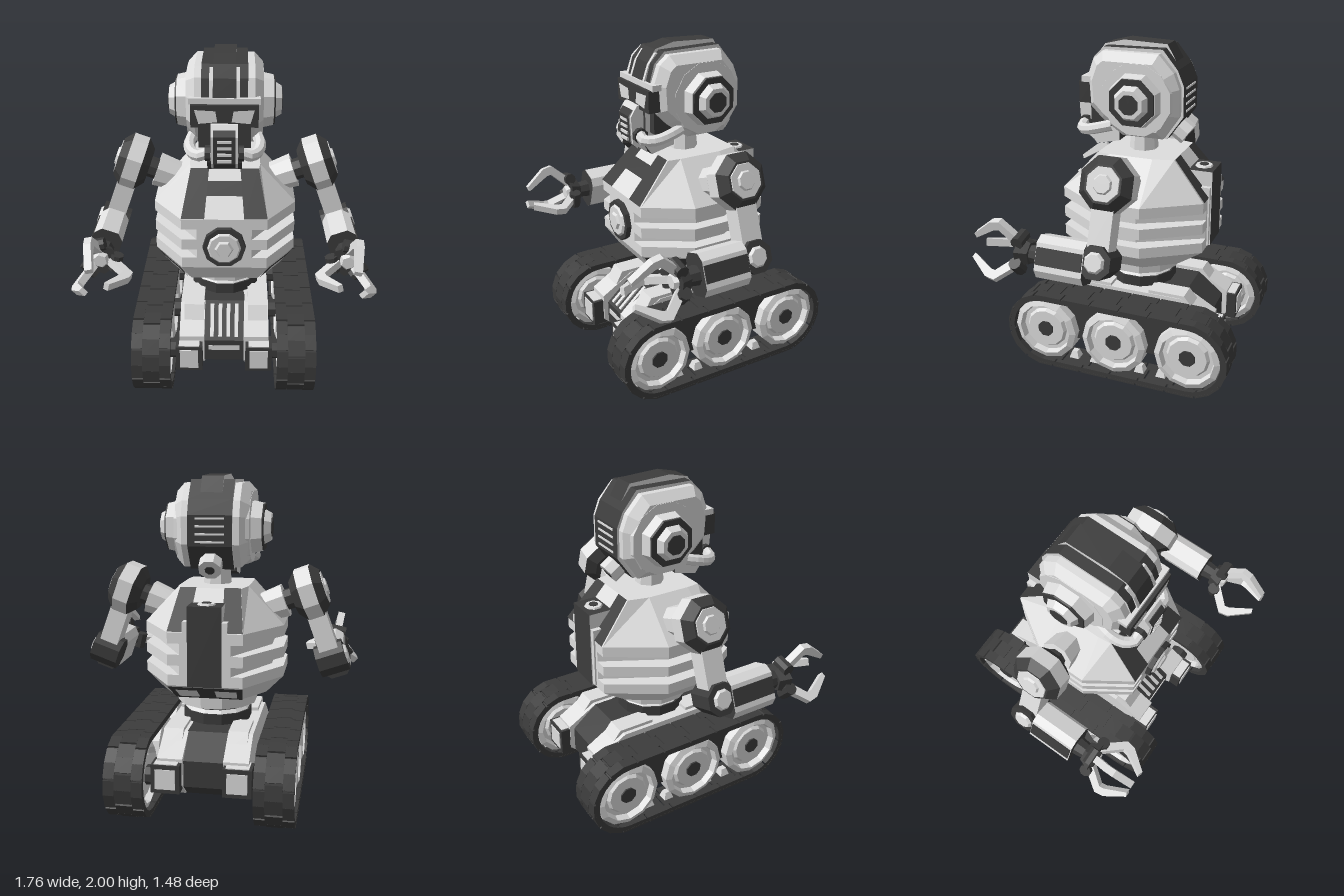
import * as THREE from 'three';

const mat = (color) => new THREE.MeshStandardMaterial({ color });

export function createModel() {
  const root = new THREE.Group();
  const light = mat(0xdedede); light.name = 'light grey';
  const dark = mat(0x3c3c3c); dark.name = 'dark grey';

  // --- helpers -------------------------------------------------------------
  const add = (parent, name, geo, m, x = 0, y = 0, z = 0) => {
    const g = geo.index ? geo.toNonIndexed() : geo;
    g.computeVertexNormals(); // faceted look
    const mesh = new THREE.Mesh(g, m);
    mesh.name = name;
    mesh.position.set(x, y, z);
    parent.add(mesh);
    return mesh;
  };
  const group = (parent, name, x = 0, y = 0, z = 0) => {
    const g = new THREE.Group();
    g.name = name;
    g.position.set(x, y, z);
    parent.add(g);
    return g;
  };
  // box from min / max corners
  const box = (p, name, m, x0, x1, y0, y1, z0, z1) =>
    add(p, name, new THREE.BoxGeometry(Math.abs(x1 - x0), y1 - y0, z1 - z0), m,
      (x0 + x1) / 2, (y0 + y1) / 2, (z0 + z1) / 2);
  // prism or cone along x: radius ra at s*x0, rb at s*x1
  const cylX = (p, name, m, s, x0, x1, ra, rb, n = 8, y = 0, z = 0) =>
    add(p, name, new THREE.CylinderGeometry(rb, ra, x1 - x0, n).rotateY(Math.PI / n).rotateZ(-s * Math.PI / 2),
      m, s * (x0 + x1) / 2, y, z);
  const cylZ = (p, name, m, z0, z1, ra, rb, n = 8, x = 0, y = 0) =>
    add(p, name, new THREE.CylinderGeometry(rb, ra, z1 - z0, n).rotateY(Math.PI / n).rotateX(Math.PI / 2),
      m, x, y, (z0 + z1) / 2);
  const cylY = (p, name, m, y0, y1, ra, rb, n, x = 0, z = 0) =>
    add(p, name, new THREE.CylinderGeometry(rb, ra, y1 - y0, n).rotateY(Math.PI / n), m, x, (y0 + y1) / 2, z);
  // side outline of [z, y] points, extruded from x0 to x1
  const sideGeo = (pts, x0, x1, hole, bevel = 0) => {
    const v = (a) => a.map(([z, y]) => new THREE.Vector2(-z, y));
    const sh = new THREE.Shape(v(pts));
    if (hole) sh.holes.push(new THREE.Path(v(hole)));
    return new THREE.ExtrudeGeometry(sh, {
      depth: x1 - x0 - 2 * bevel, bevelEnabled: bevel > 0, bevelThickness: bevel,
      bevelSize: bevel, bevelOffset: -bevel, bevelSegments: 1,
    }).rotateY(Math.PI / 2).translate(x0 + bevel, 0, 0);
  };
  const polyGeo = (tris) => {
    const g = new THREE.BufferGeometry();
    g.setAttribute('position', new THREE.Float32BufferAttribute(tris.flatMap((p) => p.toArray()), 3));
    return g;
  };
  // solid through a stack of loops, closed at both ends
  const loft = (loops) => {
    const t = [], n = loops[0].length, top = loops[loops.length - 1], bot = loops[0];
    for (let k = 0; k + 1 < loops.length; k++)
      for (let i = 0; i < n; i++) {
        const j = (i + 1) % n, [A, B] = [loops[k], loops[k + 1]];
        t.push(A[i], A[j], B[j], A[i], B[j], B[i]);
      }
    for (let i = 1; i + 1 < n; i++) t.push(top[0], top[i], top[i + 1], bot[0], bot[i + 1], bot[i]);
    return polyGeo(t);
  };
  // flat panel on side i between two loops, covering u0..u1 by v0..v1
  const panel = (p, name, m, A, B, i, u0, u1, v0, v1, off) => {
    const j = (i + 1) % A.length;
    const nrm = B[i].clone().sub(A[i]);
    nrm.crossVectors(A[j].clone().sub(A[i]), nrm).normalize();
    const at = (u, v) => A[i].clone().lerp(A[j], u).lerp(B[i].clone().lerp(B[j], u), v).addScaledVector(nrm, off);
    const [a, b, c, d] = [at(u0, v0), at(u1, v0), at(u1, v1), at(u0, v1)];
    add(p, name, polyGeo([a, b, c, a, c, d]), m);
  };

  // --- tracks --------------------------------------------------------------
  const R = 0.2475, zF = 0.44, zB = -0.485, L = zF - zB;
  const stadium = (r) => {
    const pts = [];
    for (const [zc, a0] of [[zF, -Math.PI / 2], [zB, Math.PI / 2]])
      for (let i = 0; i <= 14; i++) {
        const a = a0 + (i / 14) * Math.PI;
        pts.push([zc + r * Math.cos(a), R + r * Math.sin(a)]);
      }
    return pts;
  };
  const wheelProfile = [[.04, -.08], [.12, -.08], [.135, -.06], [.16, -.06], [.17, -.1], [.206, -.085],
    [.206, .085], [.17, .1], [.16, .06], [.135, .06], [.12, .08], [.04, .08]].map(([a, b]) => new THREE.Vector2(a, b));
  for (const s of [1, -1]) {
    const track = group(root, s > 0 ? 'leftTrack' : 'rightTrack', s * 0.43);
    add(track, 'belt', sideGeo(stadium(0.239), -0.114, 0.114, stadium(0.21)), dark);
    // interlocking pads following the belt, each bent once in the middle
    const rp = 0.241, arc = Math.PI * rp, total = 2 * (L + arc), N = 18;
    for (let k = 0; k < N * 2; k++)
      for (const [x, w, shift] of [[0, 0.1, 0], [-0.0825, 0.065, 0.035], [0.0825, 0.065, 0.035]]) {
        let d = ((k >> 1) * total / N + (k % 2 ? 0.043 : -0.043) + shift + total) % total;
        const back = d < L + arc;
        if (!back) d -= L + arc;
        const a = Math.max(0, d - L) / rp, run = Math.min(d, L), f = back ? 1 : -1;
        const pad = add(track, 'treadPad', new THREE.BoxGeometry(w, 0.012, 0.09), dark, x,
          R + f * rp * Math.cos(a), (back ? zF - run : zB + run) - f * rp * Math.sin(a));
        pad.rotation.x = -a + (back ? 0 : Math.PI);
      }
    for (const z of [0.443, -0.015, -0.485]) {
      add(track, 'wheel', new THREE.LatheGeometry(wheelProfile, 12).rotateZ(-Math.PI / 2), light, 0, R, z);
      cylX(track, 'hub', dark, 1, -0.09, 0.09, 0.052, 0.052, 8, R, z);
      cylX(track, 'axle', dark, -s, 0.05, 0.19, 0.06, 0.06, 8, R, z);
    }
    box(track, 'trackFrame', dark, -0.03, 0.03, 0.19, 0.47, -0.45, 0.42);
    for (const [z, y] of [[.54, .09], [.28, .055], [.14, .055], [-.16, .055], [-.3, .055], [-.585, .09]])
      add(track, 'guideTooth', new THREE.CylinderGeometry(0.025, 0.045, 0.045, 4).rotateY(Math.PI / 4), light, 0, y, z);
  }

  // --- chassis -------------------------------------------------------------
  const chassis = group(root, 'chassis');
  add(chassis, 'centreHull', sideGeo([[.28, .49], [.47, .32], [.47, .18], [.38, .12], [-.42, .12], [-.52, .2],
    [-.52, .36], [-.36, .49]], -0.125, 0.125), dark);
  for (let i = 0; i < 4; i++)
    add(chassis, 'grilleBar', new THREE.BoxGeometry(0.022, 0.012, 0.21), light, -0.075 + i * 0.05, 0.408, 0.378).rotation.x = 0.73;
  box(chassis, 'frontSlot', light, -0.095, 0.095, 0.255, 0.285, 0.465, 0.475);
  for (const s of [1, -1]) {
    const a = s > 0 ? 0.12 : -0.27;
    add(chassis, 'sidePod', sideGeo([[.3, .49], [.5, .37], [.5, .2], [.42, .13], [-.45, .13], [-.55, .22],
      [-.55, .38], [-.36, .49]], a, a + 0.15), light);
    add(chassis, 'podRidge', sideGeo([[.36, .51], [.42, .4], [.1, .4], [.1, .51]], a + 0.025, a + 0.145), light);
    add(chassis, 'podRidge', sideGeo([[-.15, .51], [-.15, .4], [-.47, .4], [-.38, .51]], a + 0.025, a + 0.145), light);
    const c = s * 0.21;
    box(chassis, 'lampFrame', dark, c - 0.08, c + 0.08, 0.17, 0.335, 0.44, 0.565);
    box(chassis, 'lamp', light, c - 0.055, c + 0.055, 0.19, 0.315, 0.562, 0.571);
    box(chassis, 'lampTop', light, c - 0.062, c + 0.062, 0.331, 0.34, 0.46, 0.558);
    box(chassis, 'rearFrame', dark, c - 0.085, c + 0.085, 0.19, 0.36, -0.61, -0.48);
    box(chassis, 'rearLamp', light, c - 0.06, c + 0.06, 0.215, 0.335, -0.616, -0.607);
    box(chassis, 'rearTop', light, c - 0.068, c + 0.068, 0.356, 0.365, -0.6, -0.49);
  }
  cylY(root, 'turntable', dark, 0.48, 0.555, 0.215, 0.215, 12, 0, -0.015);
  cylY(root, 'turntableCap', light, 0.555, 0.575, 0.205, 0.185, 12, 0, -0.015);
  cylY(root, 'waist', dark, 0.57, 0.605, 0.185, 0.185, 12, 0, -0.015);
  cylY(root, 'hips', light, 0.6, 0.7, 0.25, 0.26, 12, 0, -0.015);

  // --- torso ---------------------------------------------------------------
  const torso = group(root, 'torso');
  const oct = (y, xf, zf, xs, z1, z2, xb, zb) =>
    [[xf, zf], [xs, z1], [xs, z2], [xb, zb], [-xb, zb], [-xs, z2], [-xs, z1], [-xf, zf]]
      .map(([x, z]) => new THREE.Vector3(x, y, z));
  const full = (y) => oct(y, .25, .41, .425, .15, -.15, .22, -.47);
  const slim = (y) => oct(y, .16, .41, .35, .1, -.1, .15, -.47);
  const base = oct(0.69, .2, .34, .32, .16, -.13, .2, -.311);
  const top = oct(1.345, .2, .2, .21, .12, -.15, .18, -.275);
  const shoulderLine = full(1.115), belly = full(0.8);
  add(torso, 'body', loft([base, belly, full(.865), slim(.865), slim(.92), full(.92), full(.985), slim(.985),
    slim(1.05), full(1.05), shoulderLine, top]), light);
  for (const [u0, u1] of [[0, 0.27], [0.73, 1]]) {
    panel(torso, 'chestPanel', dark, shoulderLine, top, 7, u0, u1, 0, 1, 0.008);
    panel(torso, 'backPanel', dark, shoulderLine, top, 3, u0, u1, 0, 1, 0.008);
  }
  panel(torso, 'collarPanel', dark, shoulderLine, top, 7, 0.27, 0.73, 0.45, 0.75, 0.008);
  for (const i of [0, 6]) {
    panel(torso, 'ventFrame', dark, base, belly, i, 0.06, 0.94, 0.04, 0.96, 0.006);
    panel(torso, 'vent', light, base, belly, i, 0.2, 0.8, 0.26, 0.78, 0.01);
  }
  panel(torso, 'rearVentFrame', dark, base, belly, 3, 0, 1, 0.02, 0.98, 0.006);
  for (const u of [0.08, 0.62]) panel(torso, 'rearVent', light, base, belly, 3, u, u + 0.3, 0.2, 0.78, 0.01);
  cylZ(torso, 'dialRim', dark, 0.4, 0.44, 0.128, 0.125, 10, 0, 0.945);
  cylZ(torso, 'dial', light, 0.43, 0.452, 0.108, 0.088, 10, 0, 0.945);
  cylZ(torso, 'dialCentre', light, 0.45, 0.465, 0.058, 0.045, 6, 0, 0.945);
  // exhaust block on the back: pale flanks, dark top and rear
  box(torso, 'exhaustBlock', [light, light, dark, dark, dark, dark], -0.1, 0.1, 0.8, 1.27, -0.485, -0.33);
  for (const s of [1, -1]) box(torso, 'exhaustTrim', light, s * 0.1, s * 0.13, 0.81, 1.18, -0.48, -0.36);
  cylY(torso, 'exhaustRing', light, 1.26, 1.28, 0.06, 0.05, 8, 0, -0.405);
  cylY(torso, 'exhaustHole', dark, 1.275, 1.284, 0.028, 0.028, 8, 0, -0.405);
  cylY(root, 'neck', light, 1.33, 1.48, 0.09, 0.075, 8, 0, -0.02);

  // --- head ----------------------------------------------------------------
  const head = group(root, 'head');
  const paleSides = [light, dark]; // pale flanks, dark rim
  add(head, 'helmet', sideGeo([[.27, 1.79], [.23, 1.9], [.17, 1.95], [-.17, 1.95], [-.26, 1.85], [-.295, 1.76],
    [-.295, 1.6], [-.2, 1.46], [.05, 1.46], [.18, 1.55], [.26, 1.63]], -0.22, 0.22, null, 0.05), light);
  add(head, 'helmetBand', sideGeo([[.28, 1.78], [.245, 1.9], [.18, 1.965], [-.18, 1.97], [-.27, 1.86], [-.308, 1.77],
    [-.308, 1.59], [-.21, 1.45], [0, 1.5], [0, 1.78]], -0.13, 0.13), paleSides);
  add(head, 'crest', sideGeo([[.285, 1.8], [.25, 1.9], [.2, 1.97], [.08, 2], [-.185, 1.99], [-.25, 1.88], [0, 1.8]],
    -0.065, 0.065), paleSides);
  for (const s of [1, -1])
    add(head, 'crestTrim', sideGeo([[.29, 1.79], [.255, 1.89], [.21, 1.95], [.1, 1.95], [.1, 1.79]],
      s > 0 ? 0.065 : -0.085, s > 0 ? 0.085 : -0.065), light);
  for (let i = 0; i < 4; i++) box(head, 'rearSlot', light, -0.085, 0.085, 1.61 + i * 0.045, 1.622 + i * 0.045, -0.313, -0.305);
  const plug = group(head, 'rearPlug', 0, 1.48, -0.265);
  plug.rotation.x = -2.2;
  cylY(plug, 'plugBody', light, -0.03, 0.045, 0.07, 0.07, 8);
  cylY(plug, 'plugHole', dark, 0.04, 0.049, 0.03, 0.03, 8);
  // face
  box(head, 'brow', light, -0.2, 0.2, 1.765, 1.8, 0.12, 0.295);
  box(head, 'goggles', dark, -0.19, 0.19, 1.64, 1.768, 0.23, 0.315);
  box(head, 'face', dark, -0.15, 0.15, 1.5, 1.65, 0.05, 0.26);
  add(head, 'jaw', sideGeo([[.2, 1.64], [.29, 1.64], [.29, 1.42], [.25, 1.365], [.1, 1.4], [.1, 1.64]], -0.1, 0.1), paleSides);
  add(head, 'muzzle', sideGeo([[.27, 1.67], [.33, 1.66], [.37, 1.6], [.36, 1.44], [.27, 1.375]], -0.076, 0.076), light);
  add(head, 'muzzleGrille', sideGeo([[.31, 1.63], [.352, 1.635], [.377, 1.603], [.367, 1.44], [.32, 1.4]], -0.062, 0.062), paleSides);
  for (let i = 0; i < 4; i++) box(head, 'muzzleBar', light, -0.04, 0.04, 1.452 + i * 0.038, 1.468 + i * 0.038, 0.36, 0.38);
  for (const s of [1, -1]) {
    const eye = new THREE.Shape([[.04, 1.672], [.145, 1.662], [.168, 1.742], [.05, 1.735]].map(([x, y]) => new THREE.Vector2(s * x, y)));
    add(head, 'eye', new THREE.ShapeGeometry(eye), light, 0, 0, 0.319);
    // breathing hose
    const hose = new THREE.CatmullRomCurve3([[.08, 1.5, .32], [.14, 1.475, .325], [.19, 1.478, .27], [.205, 1.5, .19], [.19, 1.52, .11]]
      .map(([x, y, z]) => new THREE.Vector3(s * x, y, z)));
    add(head, 'hose', new THREE.TubeGeometry(hose, 9, 0.034, 8), light);
    cylX(head, 'hoseCollar', dark, s, 0.08, 0.11, 0.045, 0.045, 8, 1.49, 0.322);
    // ear dial
    const ear = group(head, 'ear', 0, 1.69, -0.05);
    cylX(ear, 'earDisc', light, s, 0.12, 0.222, 0.25, 0.215, 12);
    cylX(ear, 'earCone', light, s, 0.22, 0.285, 0.165, 0.15);
    cylX(ear, 'earRim', dark, s, 0.28, 0.294, 0.148, 0.143);
    cylX(ear, 'earCap', light, s, 0.29, 0.333, 0.11, 0.085);
    cylX(ear, 'earHub', dark, s, 0.32, 0.338, 0.06, 0.06);
  }

  // --- arms ----------------------------------------------------------------
  const fingerGeo = sideGeo([[.43, .08], [.56, .2], [.62, .188], [.74, .09], [.73, .062], [.6, .138], [.57, .143], [.47, .045]],
    -0.022, 0.022);
  for (const s of [1, -1]) {
    const arm = group(root, s > 0 ? 'leftArm' : 'rightArm', s * 0.565, 1.3, -0.03);
    arm.rotation.z = s * 0.35;
    cylX(arm, 'shoulderLink', light, s, -0.36, -0.15, 0.085, 0.105);
    cylX(arm, 'shoulderJoint', dark, s, -0.15, -0.08, 0.065, 0.065);
    cylX(arm, 'shoulderInner', dark, s, -0.1, -0.05, 0.11, 0.168);
    cylX(arm, 'shoulderBand', light, s, -0.05, 0.045, 0.168, 0.168);
    cylX(arm, 'shoulderOuter', dark, s, 0.045, 0.095, 0.168, 0.115);
    cylX(arm, 'shoulderCap', light, s, 0.09, 0.1, 0.105, 0.1);
    cylX(arm, 'shoulderBolt', light, s, 0.098, 0.112, 0.06, 0.05);
    box(arm, 'upperArm', light, -0.058, 0.058, -0.4, -0.1, -0.065, 0.065);
    cylX(arm, 'elbow', dark, s, -0.09, 0.085, 0.1, 0.1, 8, -0.43);
    cylX(arm, 'elbowCap', light, s, 0.083, 0.1, 0.065, 0.05, 8, -0.43);
    // forearm with chamfered section
    const hand = group(arm, 'forearm', 0, -0.45, 0.03);
    const sec = [[.088, .08], [.05, .122], [-.05, .122], [-.088, .08], [-.088, -.08], [-.05, -.122], [.05, -.122], [.088, -.08]];
    add(hand, 'forearmShell', new THREE.ExtrudeGeometry(new THREE.Shape(sec.map((p) => new THREE.Vector2(...p))),
      { depth: 0.29, bevelEnabled: false }), [dark, light], 0, 0, 0.035);
    box(hand, 'forearmPlate', dark, s * 0.087, s * 0.095, -0.045, 0.055, 0.04, 0.32);
    // wrist and three-fingered claw
    cylZ(hand, 'wrist', dark, 0.32, 0.4, 0.06, 0.05);
    cylZ(hand, 'palm', dark, 0.39, 0.46, 0.07, 0.1, 6);
    cylZ(hand, 'palmDial', light, 0.455, 0.485, 0.058, 0.04, 6);
    for (const deg of [58, -64, 174]) {
      const a = THREE.MathUtils.degToRad(s > 0 ? deg : 180 - deg);
      const finger = group(hand, 'finger');
      finger.rotation.z = a - Math.PI / 2;
      add(finger, 'claw', fingerGeo, light);
      cylX(finger, 'knuckle', dark, 1, -0.05, 0.05, 0.038, 0.038, 8, 0.09, 0.45);
    }
  }
  return root;
}
